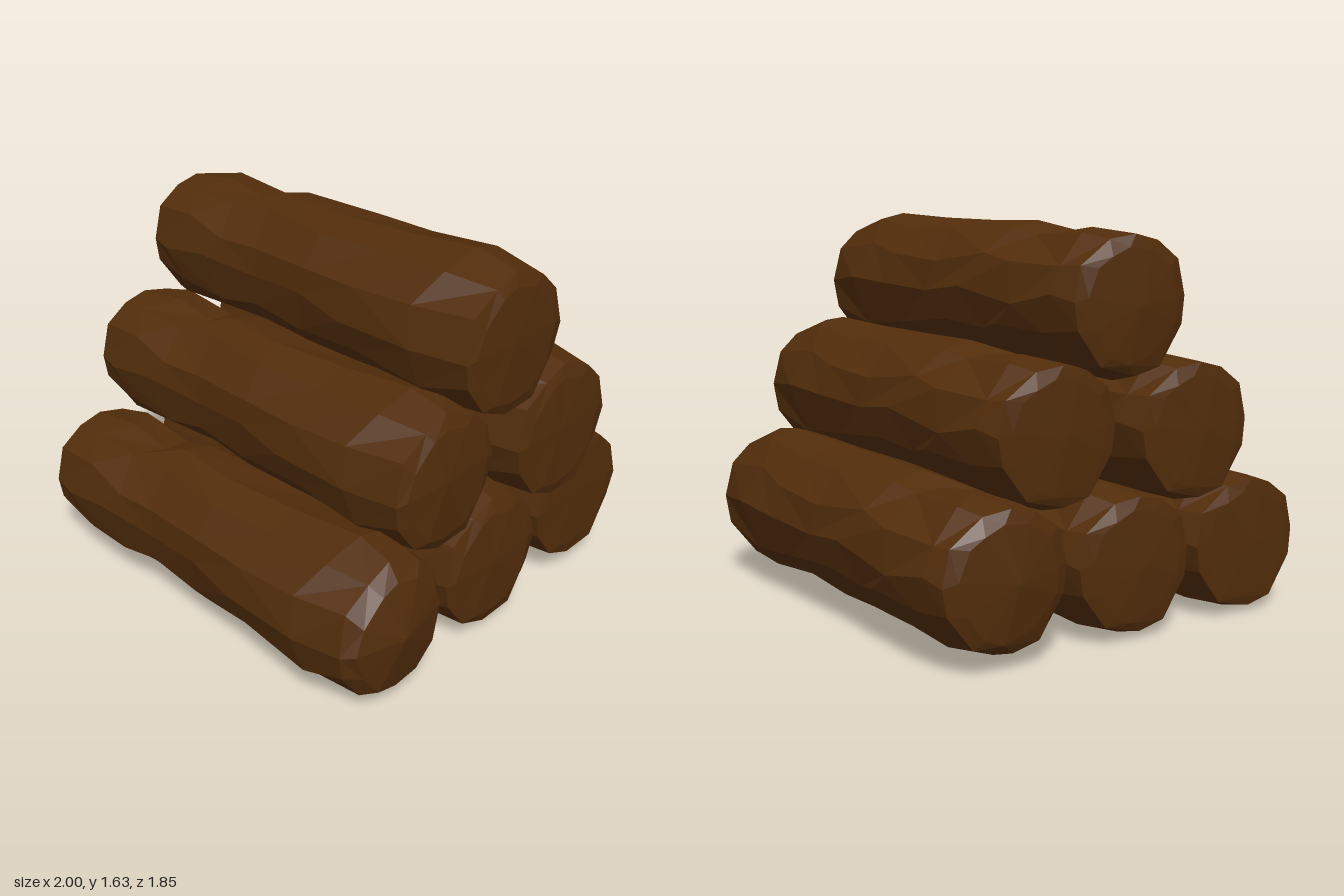
import * as THREE from 'three';

const SIDES = 12;

// Reach of the bark upward, forward, downward and backward at each rim
const LEFT_RIM = [0.222, 0.27, 0.3, 0.262];
const RIGHT_RIM = [0.27, 0.27, 0.3, 0.275];

// The same reach at stations x between the rims
const STATIONS = [
  [-0.74, 0.25, 0.285, 0.31, 0.28],
  [-0.48, 0.238, 0.285, 0.3, 0.295],
  [-0.24, 0.27, 0.272, 0.295, 0.285],
  [0.02, 0.28, 0.275, 0.295, 0.285],
  [0.32, 0.287, 0.285, 0.278, 0.295],
  [0.63, 0.315, 0.298, 0.3, 0.303],
];

function seeded(seed) {
  let s = seed;
  return () => (s = (s * 16807) % 2147483647) / 2147483647;
}

// Rough hewn log along x; each end slopes from its rim to its tip
function logGeometry(leftTip, leftRim, rightRim, rightTip, shift) {
  const random = seeded(4217);
  const jitter = (amount) => (random() - 0.5) * 2 * amount;
  const positions = [];
  const index = [];

  const ring = (x, [up, front, down, back], scale, slide, rough) => {
    for (let j = 0; j < SIDES; j++) {
      const a = (j / SIDES) * Math.PI * 2 + jitter(0.12);
      const c = Math.cos(a), s = Math.sin(a);
      const reach = (c > 0 ? up : down) * c * c + (s > 0 ? front : back) * s * s;
      const r = (reach + 0.008 + jitter(rough)) * scale;
      positions.push(x + jitter(slide), c * r, s * r);
    }
  };

  // Rings: sloping left end, bark, sloping right end
  ring(leftRim * 0.55 + leftTip * 0.45, LEFT_RIM, 0.8, 0.006, 0.012);
  ring(leftRim, LEFT_RIM, 1, 0.012, 0.011);
  for (const [x, ...reach] of STATIONS) ring(x + shift, reach, 1, 0.08, 0.012);
  ring(rightRim, RIGHT_RIM, 1, 0.012, 0.011);
  ring(rightRim * 0.55 + rightTip * 0.45, RIGHT_RIM, 0.8, 0.006, 0.012);

  // Bark faces, with irregular diagonals
  const rings = STATIONS.length + 4;
  for (let i = 0; i < rings - 1; i++) {
    for (let j = 0; j < SIDES; j++) {
      const k = (j + 1) % SIDES;
      const a = i * SIDES + j, b = i * SIDES + k;
      const c = a + SIDES, d = b + SIDES;
      if (random() > 0.5) index.push(a, b, c, b, d, c);
      else index.push(a, b, d, a, d, c);
    }
  }

  // End fans
  const left = positions.length / 3, right = left + 1;
  positions.push(leftTip, -0.03, 0.03, rightTip, 0.02, 0.03);
  const end = (rings - 1) * SIDES;
  for (let j = 0; j < SIDES; j++) {
    const k = (j + 1) % SIDES;
    index.push(left, k, j, right, end + j, end + k);
  }

  const geometry = new THREE.BufferGeometry();
  geometry.setAttribute('position', new THREE.Float32BufferAttribute(positions, 3));
  geometry.setIndex(index);
  const faceted = geometry.toNonIndexed();
  faceted.computeVertexNormals();
  return faceted;
}

export function createModel() {
  const group = new THREE.Group();
  group.name = 'logPile';
  const bark = new THREE.MeshStandardMaterial({ color: 0x522d0b });
  bark.name = 'darkBrownBark';

  // Name, height y, depth z, left tip, left rim, right rim, right tip, bark shift
  const logs = [
    ['bottomFrontLog', 0.325, 0.615, -0.935, -0.915, 0.88, 1.0, 0],
    ['bottomMiddleLog', 0.33, 0.01, -0.965, -0.93, 0.875, 0.915, -0.04],
    ['bottomBackLog', 0.365, -0.605, -1.0, -0.945, 0.85, 0.86, -0.07],
    ['middleFrontLog', 0.825, 0.3, -0.97, -0.94, 0.86, 0.905, -0.04],
    ['middleBackLog', 0.845, -0.31, -0.89, -0.86, 0.945, 0.97, 0.03],
    ['topLog', 1.32, 0, -0.94, -0.895, 0.915, 0.95, 0],
  ];
  for (const [name, y, z, ...ends] of logs) {
    const log = new THREE.Mesh(logGeometry(...ends), bark);
    log.name = name;
    log.position.set(0, y, z);
    group.add(log);
  }
  return group;
}
